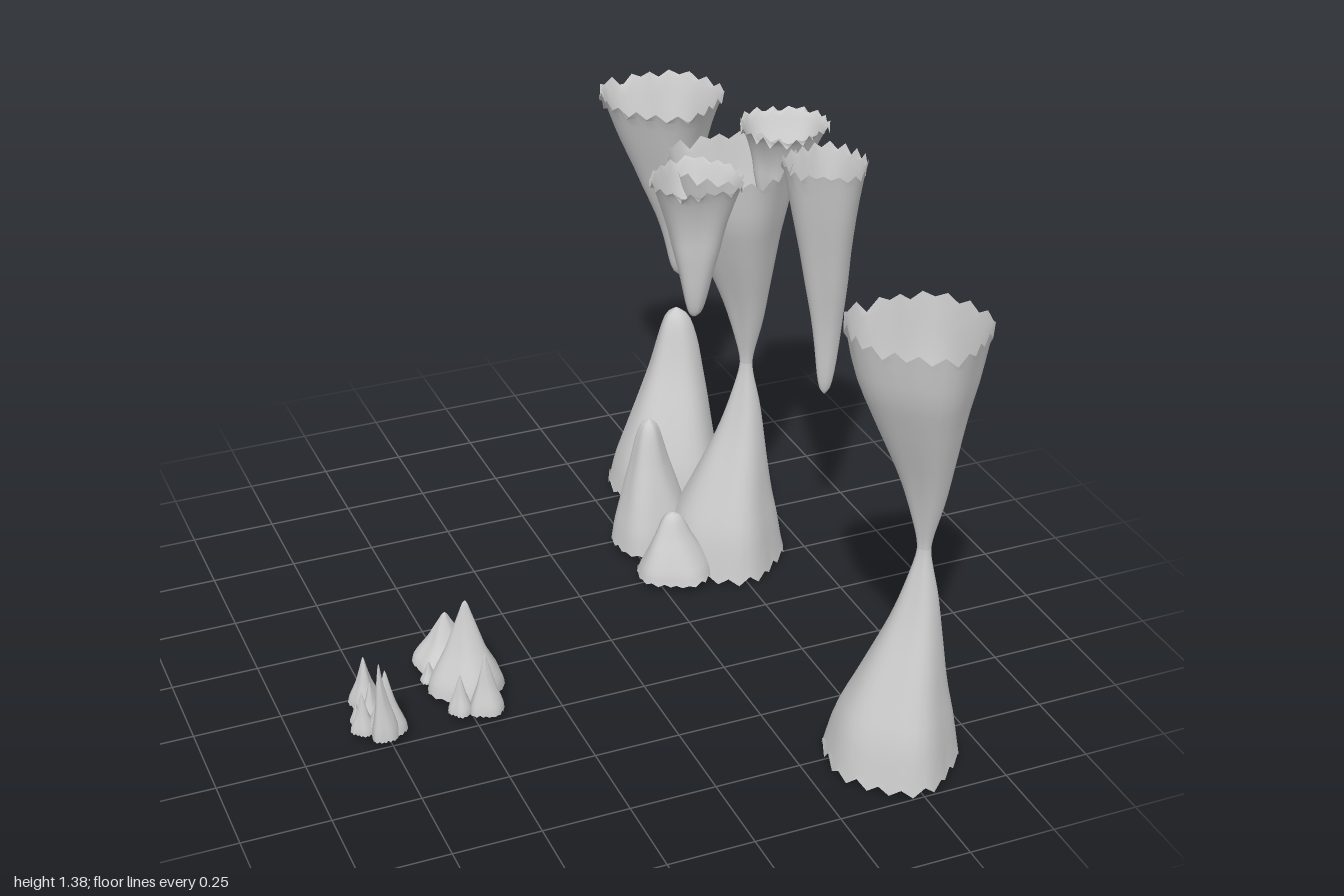
import * as THREE from 'three';

const material = new THREE.MeshStandardMaterial({ color: 0xcccccc, side: THREE.DoubleSide });
const SEGMENTS = 36, RINGS = 18;

// Profiles from rim to tip: [distance along, radius as a share of the rim]
const COLUMN = [[0, 1], [0.2, 0.88], [0.35, 0.72], [0.5, 0.56], [0.65, 0.4], [0.8, 0.26], [0.94, 0.13], [1, 0.1]];
const HANGING = [[0, 1], [0.1, 0.88], [0.23, 0.74], [0.37, 0.6], [0.5, 0.5], [0.65, 0.37], [0.78, 0.28], [0.9, 0.2], [0.97, 0.12], [1, 0]];
const STANDING = [[0, 1], [0.15, 0.93], [0.32, 0.79], [0.49, 0.64], [0.66, 0.48], [0.83, 0.34], [0.95, 0.2], [1, 0]];
const POINTED = [[0, 1], [0.12, 0.94], [0.28, 0.74], [0.45, 0.52], [0.65, 0.33], [0.85, 0.16], [0.96, 0.07], [1, 0]];

function seeded(seed) {
  let s = seed * 7919 + 17;
  return () => {
    s = (s * 16807) % 2147483647;
    return s / 2147483647;
  };
}

// Open cone: box = [xMin, xMax, zMin, zMax] of the rim, tip = [x, z]
function dripstone(name, { box, rimY, tip, tipY, profile, seed, jag = 0.03, lumps = 0.05 }) {
  const random = seeded(seed);
  random();
  const phase = [0, 1, 2].map(() => random() * Math.PI * 2);
  const curve = new THREE.SplineCurve(profile.map(([t, r]) => new THREE.Vector2(t, r)));
  const [x0, x1, z0, z1] = box;
  const up = Math.sign(tipY - rimY);
  const lobe = (a, t) => 1 + lumps * (Math.cos(3 * a + phase[0] + 1.5 * t)
    + 0.7 * Math.cos(5 * a + phase[1] - 2 * t) + 0.5 * Math.cos(2 * a + phase[2] + 4 * t));

  // Rim extent, used to fit the lumpy outline to its box
  const angles = Array.from({ length: SEGMENTS }, (_, i) => (i / SEGMENTS) * Math.PI * 2);
  const xs = angles.map((a) => Math.cos(a) * lobe(a, 0));
  const zs = angles.map((a) => Math.sin(a) * lobe(a, 0));
  const fit = (v, list, lo, hi) => {
    const a = Math.min(...list), b = Math.max(...list);
    return (v - (a + b) / 2) * (hi - lo) / (b - a);
  };

  const positions = [], index = [];
  for (let j = 0; j <= RINGS; j++) {
    const p = curve.getPoint(j / RINGS);
    const t = p.x, r = Math.max(p.y, 0);
    const shift = THREE.MathUtils.smoothstep(t, 0.1, 0.85);
    const cx = THREE.MathUtils.lerp((x0 + x1) / 2, tip[0], shift);
    const cz = THREE.MathUtils.lerp((z0 + z1) / 2, tip[1], shift);
    angles.forEach((a, i) => {
      const l = lobe(a, t);
      // Broken, zigzag edge
      const chip = j === 0 && i % 2 ? jag * (0.3 + 0.7 * random()) : 0;
      positions.push(
        cx + r * fit(Math.cos(a) * l, xs, x0, x1),
        rimY + (tipY - rimY) * t + up * chip,
        cz + r * fit(Math.sin(a) * l, zs, z0, z1));
      if (j === RINGS) return;
      const n = (i + 1) % SEGMENTS, A = j * SEGMENTS;
      const q = [A + i, A + n, A + SEGMENTS + i, A + SEGMENTS + n];
      if (up > 0) index.push(q[0], q[2], q[1], q[1], q[2], q[3]);
      else index.push(q[0], q[1], q[2], q[1], q[3], q[2]);
    });
  }
  const geometry = new THREE.BufferGeometry();
  geometry.setAttribute('position', new THREE.Float32BufferAttribute(positions, 3));
  geometry.setIndex(index);
  geometry.computeVertexNormals();
  const mesh = new THREE.Mesh(geometry, material);
  mesh.name = name;
  return mesh;
}

// Full column: a hanging and a standing half meeting at the waist
function column(name, z0, z1, waistZ, seed) {
  const group = new THREE.Group();
  group.name = name;
  const half = { box: [0.32, 0.69, z0, z1], tip: [0.555, waistZ], tipY: 0.667, profile: COLUMN, seed, jag: 0.04 };
  group.add(dripstone('upperHalf', { ...half, rimY: 1.333 }));
  group.add(dripstone('lowerHalf', { ...half, rimY: 0 }));
  return group;
}

// Cluster of small cones: [x, z, radiusX, radiusZ, height, tipX, tipZ]
function cluster(name, cones, seed) {
  const group = new THREE.Group();
  group.name = name;
  cones.forEach(([x, z, rx, rz, h, tx = x, tz = z], i) => group.add(dripstone('smallStalagmite' + (i + 1), {
    box: [x - rx, x + rx, z - rz, z + rz], rimY: 0.025, tip: [tx, tz], tipY: h,
    profile: POINTED, seed: seed + i, jag: 0.008, lumps: 0.06,
  })));
  return group;
}

export function createModel() {
  const model = new THREE.Group();
  model.name = 'caveDripstones';

  // Columns
  model.add(column('frontColumn', 0.635, 1, 0.81, 3));
  model.add(column('middleColumn', -0.48, -0.115, -0.3, 3));

  // Rear pair that does not meet
  model.add(dripstone('rearStalactite', { box: [0.32, 0.69, -1, -0.63], rimY: 1.333, tip: [0.555, -0.79], tipY: 0.73, profile: HANGING, seed: 3, jag: 0.04 }));
  model.add(dripstone('rearStalagmite', { box: [0.32, 0.69, -0.95, -0.59], rimY: 0.005, tip: [0.55, -0.81], tipY: 0.61, profile: STANDING, seed: 5, jag: 0.04 }));

  // Stalactites around the middle column
  [
    ['longStalactite', [0.565, 0.81, -0.225, 0.03], 1.375, [0.72, -0.11], 0.62],
    ['shortStalactite', [0.575, 0.84, -0.545, -0.28], 1.365, [0.67, -0.39], 1.06],
    ['leftStalactite', [0.19, 0.455, -0.31, -0.045], 1.36, [0.31, -0.14], 0.94],
  ].forEach(([name, box, rimY, tip, tipY], i) => model.add(
    dripstone(name, { box, rimY, tip, tipY, profile: HANGING, seed: 11 + i })));

  // Stalagmites beside the middle column
  model.add(dripstone('tallStalagmite', { box: [0.19, 0.44, -0.565, -0.33], rimY: 0.025, tip: [0.31, -0.46], tipY: 0.44, profile: STANDING, seed: 21, jag: 0.015 }));
  model.add(dripstone('lowStalagmite', { box: [0.19, 0.42, -0.345, -0.13], rimY: 0.025, tip: [0.3, -0.25], tipY: 0.23, profile: STANDING, seed: 22, jag: 0.015 }));

  // Low clusters on the far side
  model.add(cluster('wideCluster', [
    [-0.48, 0.095, 0.112, 0.1, 0.31, -0.475, 0.083],
    [-0.488, -0.06, 0.1, 0.085, 0.185, -0.49, -0.06],
    [-0.465, 0.215, 0.05, 0.048, 0.21],
    [-0.535, 0.2, 0.035, 0.035, 0.15],
    [-0.57, 0.025, 0.025, 0.022, 0.09],
  ], 31));
  model.add(cluster('narrowCluster', [
    [-0.765, 0.23, 0.038, 0.035, 0.27, -0.775, 0.232],
    [-0.75, 0.2, 0.055, 0.052, 0.22],
    [-0.77, 0.06, 0.047, 0.045, 0.18],
    [-0.775, 0.13, 0.034, 0.033, 0.14],
    [-0.815, 0.185, 0.035, 0.033, 0.155],
    [-0.82, 0.138, 0.018, 0.018, 0.09],
  ], 41));
  return model;
}
